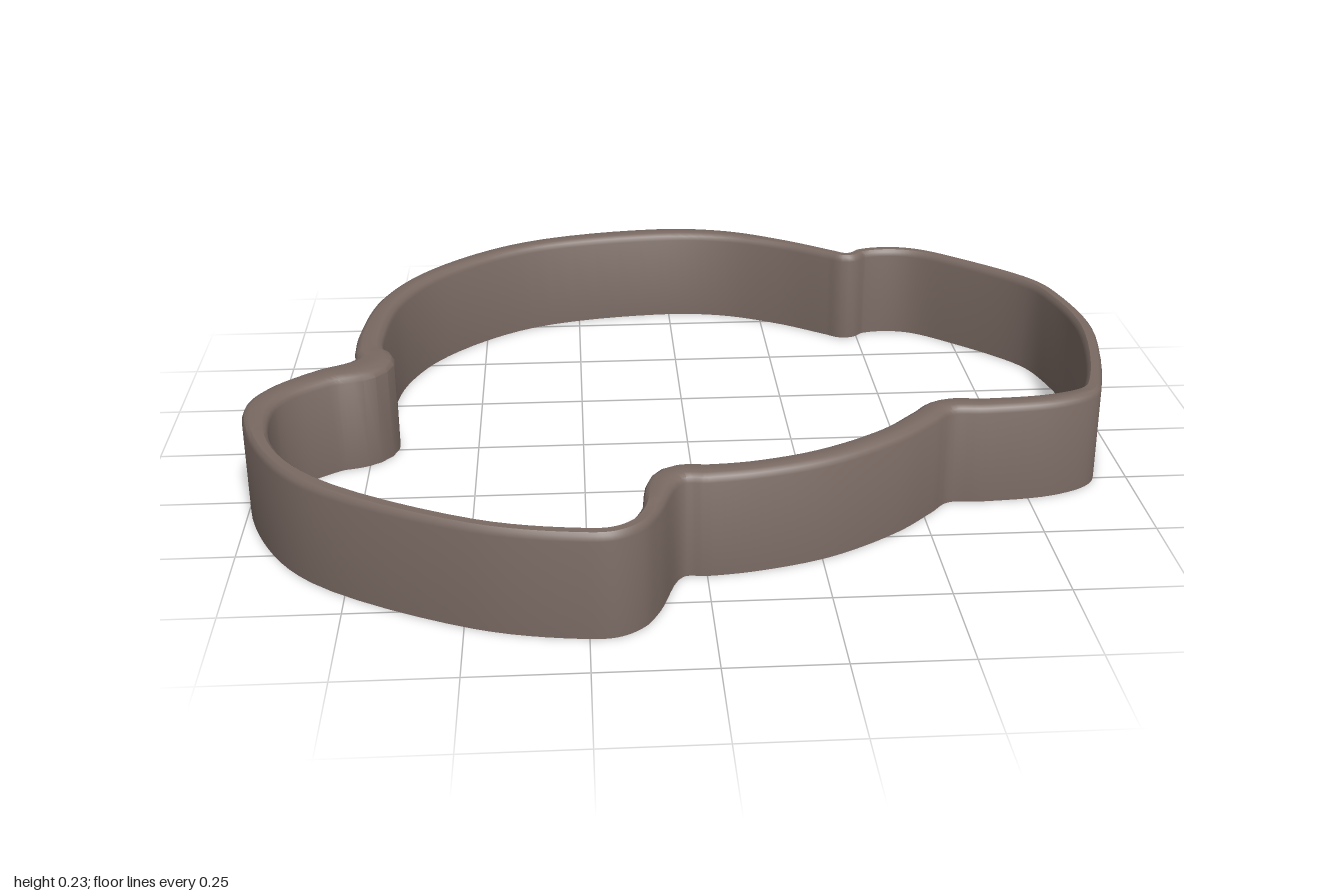
import * as THREE from 'three';
import { toCreasedNormals } from 'three/addons/utils/BufferGeometryUtils.js';

// Outer edge of the wall, clockwise seen from above: x, z, wall thickness
const outline = [
  // round dome at the back
  [-.785, -.02, .1], [-.785, -.08, .07], [-.785, -.185, .065], [-.75, -.4, .06], [-.645, -.6, .06],
  [-.4, -.8, .06], [-.03, -.885, .065], [.16, -.855, .055], [.32, -.765, .04], [.44, -.675, .035],
  // lobe on the left side
  [.47, -.655, .035], [.5, -.68, .035], [.575, -.695, .035], [.66, -.675, .033], [.77, -.59, .033],
  [.93, -.42, .035], [.97, -.31, .035], [.995, -.1, .037], [.935, .21, .037], [.905, .28, .045],
  [.81, .33, .055], [.64, .35, .06],
  // shallow arc at the front
  [.565, .35, .065], [.52, .395, .065], [.43, .48, .062], [.27, .58, .065], [.11, .63, .065], [0, .645, .07],
  // lobe on the right side
  [-.05, .645, .07], [-.105, .78, .04], [-.14, .84, .035], [-.195, .875, .035], [-.275, .875, .035],
  [-.48, .825, .035], [-.825, .62, .04], [-.95, .435, .04], [-1, .23, .07], [-.96, .13, .075], [-.865, .035, .085],
];

// Wall section: [fraction from outer to inner side, height]
const section = [[0, 0], [0, .218], [.08, .229], [.25, .235], [.75, .235], [.92, .229], [1, .218], [1, 0]];

// Sweeps the section round the closed outline, thickening it inwards
function wallGeometry() {
  const points = outline.map(([x, z, t]) => new THREE.Vector3(x, t, z));
  const n = points.length * 6, m = section.length;
  const edge = new THREE.CatmullRomCurve3(points, true).getPoints(n).slice(0, n);
  const position = [], index = [];
  edge.forEach((p, i) => {
    const before = edge[(i + n - 1) % n], after = edge[(i + 1) % n];
    const inward = new THREE.Vector2(before.z - after.z, after.x - before.x).setLength(p.y);
    const next = ((i + 1) % n) * m;
    section.forEach(([f, y], j) => {
      position.push(p.x + inward.x * f, y, p.z + inward.y * f);
      const k = (j + 1) % m;
      const a = i * m + j, b = i * m + k, c = next + k, d = next + j;
      index.push(a, b, c, a, c, d);
    });
  });
  const geometry = new THREE.BufferGeometry();
  geometry.setAttribute('position', new THREE.Float32BufferAttribute(position, 3));
  geometry.setIndex(index);
  return toCreasedNormals(geometry, 0.65);
}

export function createModel() {
  const group = new THREE.Group();
  group.name = 'cutterRing';
  const wall = new THREE.Mesh(wallGeometry(), new THREE.MeshStandardMaterial({ color: 0x7a6a63 }));
  wall.name = 'outlineWall';
  group.add(wall);
  return group;
}
